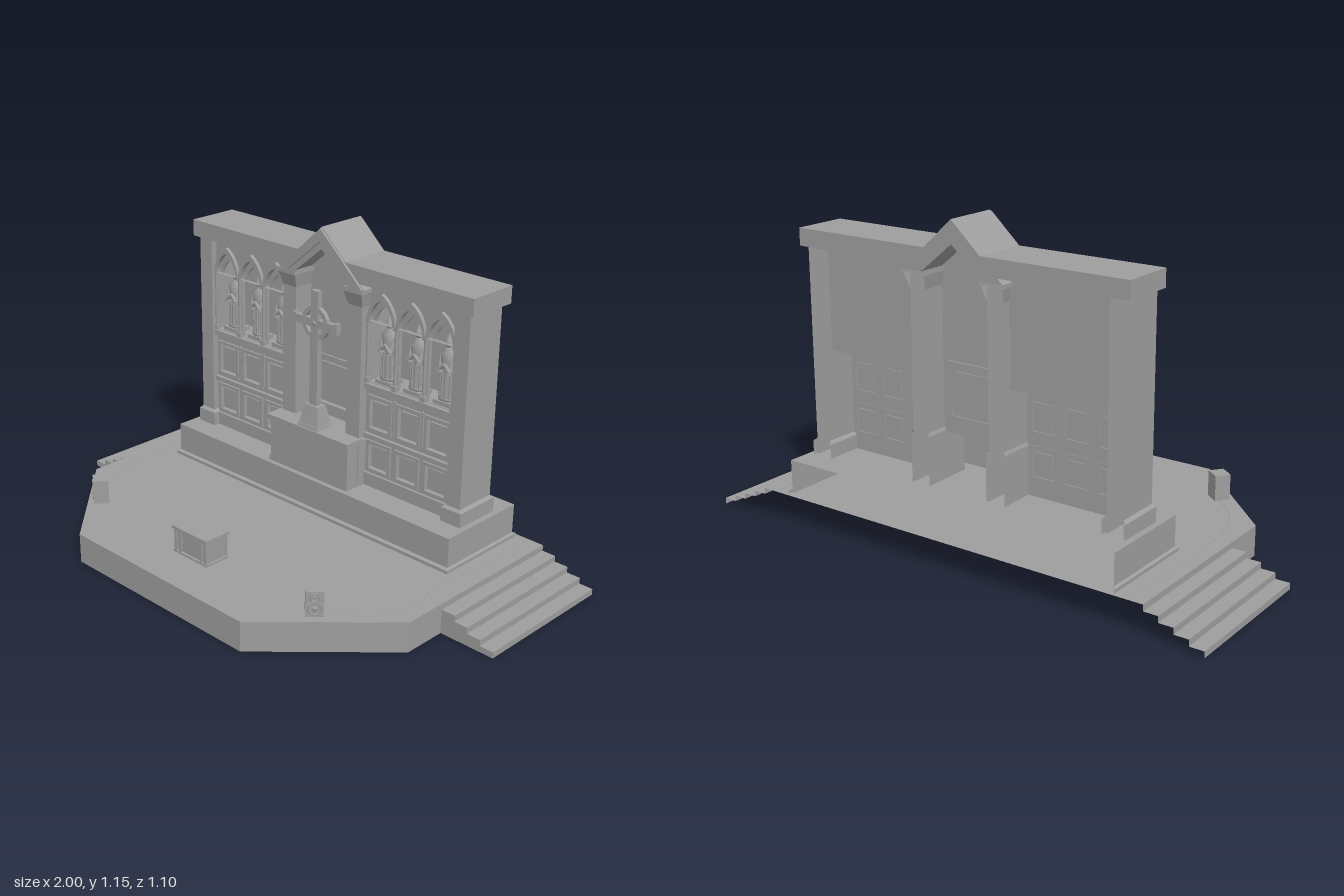
import * as THREE from 'three';

const grey = new THREE.MeshStandardMaterial({ color: 0x9e9e9e, side: THREE.DoubleSide, flatShading: true });
const smooth = new THREE.MeshStandardMaterial({ color: 0x9e9e9e });

function add(parent, name, geometry, x = 0, y = 0, z = 0, material = grey) {
  const mesh = new THREE.Mesh(geometry, material);
  mesh.name = name;
  mesh.position.set(x, y, z);
  parent.add(mesh);
  return mesh;
}

// Box given by its limits
function block(parent, name, x0, x1, y0, y1, z0, z1) {
  return add(parent, name, new THREE.BoxGeometry(x1 - x0, y1 - y0, z1 - z0),
    (x0 + x1) / 2, (y0 + y1) / 2, (z0 + z1) / 2);
}

// Block whose top has a different size from its bottom
function taper(parent, name, x, y, z, w0, d0, w1, d1, h) {
  const g = new THREE.BoxGeometry(1, h, 1), p = g.attributes.position;
  for (let i = 0; i < p.count; i++) {
    const top = p.getY(i) > 0;
    p.setX(i, p.getX(i) * (top ? w1 : w0));
    p.setZ(i, p.getZ(i) * (top ? d1 : d0));
  }
  return add(parent, name, g, x, y + h / 2, z);
}

// Thin sheet swept between two matching point lists
function sheet(parent, name, a, b) {
  const v = [];
  for (let i = 0; i + 1 < a.length; i++) v.push(...a[i], ...a[i + 1], ...b[i + 1], ...a[i], ...b[i + 1], ...b[i]);
  const g = new THREE.BufferGeometry();
  g.setAttribute('position', new THREE.Float32BufferAttribute(v, 3));
  g.computeVertexNormals();
  return add(parent, name, g);
}
const lift = (plan, y) => plan.map(([x, z]) => [x, y, z]);

// Three-sided casing open behind; each size is [half width, front z, back z]
function casing(parent, name, x, y0, y1, low, high = low) {
  const ring = ([w, f, b]) => [[x - w, b], [x - w, f], [x + w, f], [x + w, b]];
  return sheet(parent, name, lift(ring(low), y0), lift(ring(high), y1));
}

const poly = (pts) => new THREE.Shape(pts.map(([x, y]) => new THREE.Vector2(x, y)));
const rect = (x, y, w, h) => poly([[x - w / 2, y - h / 2], [x + w / 2, y - h / 2], [x + w / 2, y + h / 2], [x - w / 2, y + h / 2]]);
const extrude = (shape, depth) => new THREE.ExtrudeGeometry(shape, { depth, bevelEnabled: false, curveSegments: 8 });

// Pointed arch opening
function arch(x, w, y0, spring, apex) {
  const s = new THREE.Shape();
  s.moveTo(x - w, y0);
  s.lineTo(x + w, y0);
  s.lineTo(x + w, spring);
  s.quadraticCurveTo(x + w * 0.9, spring + (apex - spring) * 0.7, x, apex);
  s.quadraticCurveTo(x - w * 0.9, spring + (apex - spring) * 0.7, x - w, spring);
  s.lineTo(x - w, y0);
  return s;
}

// Picture-frame panel with a raised field
function panel(parent, x, y, z, w, h) {
  const ring = rect(x, y, w + 0.012, h + 0.012);
  ring.holes.push(rect(x, y, w - 0.014, h - 0.014));
  add(parent, 'panelFrame', extrude(ring, 0.026), 0, 0, z - 0.018);
  block(parent, 'panelBack', x - w / 2, x + w / 2, y - h / 2, y + h / 2, z - 0.014, z - 0.01);
  block(parent, 'panelField', x - w * 0.36, x + w * 0.36, y - h * 0.36, y + h * 0.36, z - 0.018, z - 0.002);
}

function statue(parent, x, y, z) {
  const g = new THREE.Group();
  g.name = 'statue';
  g.position.set(x, y, z);
  parent.add(g);
  const robe = [[0, 0], [0.034, 0], [0.034, 0.012], [0.028, 0.016], [0.03, 0.05], [0.027, 0.1], [0.031, 0.14], [0.029, 0.17], [0.012, 0.188], [0.009, 0.196]];
  const body = new THREE.LatheGeometry(robe.map(([r, h]) => new THREE.Vector2(r, h)), 14);
  add(g, 'robe', body, 0, 0, 0, smooth).scale.z = 0.8;
  add(g, 'head', new THREE.SphereGeometry(0.015, 10, 8), 0, 0.206, 0.002, smooth).scale.y = 1.2;
  add(g, 'headdress', new THREE.ConeGeometry(0.014, 0.03, 8), 0, 0.231, 0, smooth);
  for (const s of [-1, 1]) {
    const arm = add(g, 'sleeve', new THREE.CylinderGeometry(0.008, 0.012, 0.07, 8), s * 0.024, 0.135, 0.012, smooth);
    arm.rotation.set(-0.35, 0, -s * 0.15);
    const hand = add(g, 'forearm', new THREE.CylinderGeometry(0.006, 0.009, 0.036, 8), s * 0.013, 0.122, 0.026, smooth);
    hand.rotation.z = s * 0.8;
    for (const k of [0.35, 1])
      add(g, 'robeFold', new THREE.CylinderGeometry(0.003, 0.005, 0.1, 6), s * 0.02 * k, 0.062, 0.026 - 0.01 * k, smooth);
  }
}

// One side bay: three niches above two rows of panels
function sideBay(parent, cx) {
  const bay = new THREE.Group();
  bay.name = 'sideBay';
  bay.position.x = cx;
  parent.add(bay);
  const z = -0.265, front = rect(0, 0.6125, 0.39, 0.755);
  for (const i of [-1, 0, 1]) {
    const x = i * 0.129;
    front.holes.push(arch(x, 0.056, 0.63, 0.86, 0.95), rect(x, 0.517, 0.1, 0.125), rect(x, 0.352, 0.1, 0.108));
    panel(bay, x, 0.517, z, 0.1, 0.125);
    panel(bay, x, 0.352, z, 0.1, 0.108);
    const trim = arch(x, 0.064, 0.86, 0.861, 0.965);
    trim.holes.push(arch(x, 0.052, 0.86, 0.861, 0.943));
    add(bay, 'archMoulding', extrude(trim, 0.014), 0, 0, z);
    const inner = arch(x, 0.056, 0.85, 0.855, 0.95);
    inner.holes.push(arch(x, 0.044, 0.85, 0.852, 0.915));
    add(bay, 'innerArch', extrude(inner, 0.01), 0, 0, z - 0.025);
    block(bay, 'statueBase', x - 0.036, x + 0.036, 0.63, 0.645, -0.34, -0.272);
    statue(bay, x, 0.642, -0.305);
  }
  add(bay, 'bayFront', extrude(front, 0.016), 0, 0, z - 0.016);
  for (let i = 0; i < 4; i++) {
    const x = (i - 1.5) * 0.127;
    add(bay, 'nicheColumn', new THREE.CylinderGeometry(0.007, 0.007, 0.22, 8), x, 0.745, z + 0.004, smooth);
    block(bay, 'columnCapital', x - 0.01, x + 0.01, 0.85, 0.868, z - 0.005, z + 0.015);
    block(bay, 'columnFoot', x - 0.01, x + 0.01, 0.63, 0.65, z - 0.005, z + 0.015);
    if (i % 3) block(bay, 'panelStile', x - 0.005, x + 0.005, 0.46, 0.59, z, z + 0.008);
  }
  // Niche box closed at the back, the sides and below
  block(bay, 'nicheBack', -0.194, 0.194, 0.622, 0.99, -0.375, -0.371);
  block(bay, 'nicheFloor', -0.194, 0.194, 0.622, 0.63, -0.375, -0.265);
  for (const s of [-1, 1]) block(bay, 'nicheSide', s * 0.192 - 0.002, s * 0.192 + 0.002, 0.622, 0.99, -0.375, -0.265);
  block(bay, 'upperLedge', -0.195, 0.195, 0.608, 0.628, z, z + 0.016);
  block(bay, 'middleLedge', -0.195, 0.195, 0.42, 0.438, z, z + 0.014);
  block(bay, 'lowerLedge', -0.195, 0.195, 0.235, 0.285, z, z + 0.01);
}

function speaker(parent, x, z, turn) {
  const g = new THREE.Group();
  g.name = 'speaker';
  g.position.set(x, 0.11, z);
  g.rotation.y = turn;
  parent.add(g);
  block(g, 'speakerCabinet', -0.03, 0.03, 0, 0.092, -0.028, 0.028);
  for (const [r, y] of [[0.022, 0.03], [0.014, 0.07]]) {
    add(g, 'speakerRing', new THREE.TorusGeometry(r, 0.003, 6, 18), 0, y, 0.028, smooth);
    add(g, 'speakerDome', new THREE.SphereGeometry(r * 0.45, 10, 6), 0, y, 0.024, smooth);
  }
}

export function createModel() {
  const model = new THREE.Group();
  model.name = 'altarScreen';

  // Hollow stage, open below, behind and towards the steps
  const edge = [[-0.79, 0.027], [-0.79, 0.19], [-0.41, 0.565], [0.41, 0.565], [0.79, 0.19], [0.79, 0.027]];
  const deck = poly([[-0.79, -0.53], ...edge, [0.79, -0.53]]);
  add(model, 'stageDeck', new THREE.ShapeGeometry(deck).rotateX(Math.PI / 2), 0, 0.11, 0);
  sheet(model, 'stageWall', lift(edge, 0), lift(edge, 0.11));

  // Hollow plinth, open behind
  const plinth = [0.673, -0.145, -0.507], foot = [0.682, -0.132, -0.518];
  casing(model, 'plinth', 0, 0.11, 0.235, plinth);
  casing(model, 'plinthMoulding', 0, 0.11, 0.122, foot);
  casing(model, 'plinthMouldingTop', 0, 0.122, 0.126, foot, plinth);
  sheet(model, 'plinthTop', lift([[-0.673, -0.145], [0.673, -0.145]], 0.235), lift([[-0.673, -0.507], [0.673, -0.507]], 0.235));

  for (const s of [-1, 1]) {
    // Side steps
    const profile = [[1, 0]];
    for (let i = 0; i < 4; i++) profile.push([1 - i * 0.0525, 0.022 * (i + 1)], [1 - (i + 1) * 0.0525, 0.022 * (i + 1)]);
    profile.push([0.79, 0.11]);
    const at = (z) => profile.map(([x, y]) => [s * x, y, z]);
    sheet(model, 'steps', at(0.027), at(-0.53));
    add(model, 'stepCheek', new THREE.ShapeGeometry(poly([...profile, [0.79, 0]].map(([x, y]) => [s * x, y]))), 0, 0, 0.027);

    // Outer pier with its base
    const shaft = [0.031, -0.24, -0.405], base = [0.042, -0.23, -0.415], px = s * 0.609;
    casing(model, 'outerPier', px, 0.235, 0.99, shaft);
    casing(model, 'outerPierBase', px, 0.235, 0.287, base);
    casing(model, 'outerPierBaseCap', px, 0.287, 0.297, base, shaft);

    sideBay(model, s * 0.384);

    // Cornice
    const cornice = block(model, 'cornice', 0.112, 0.66, 0.99, 1.052, -0.425, -0.225);
    cornice.position.x *= s;

    // Inner pier with base and capital
    const x = s * 0.157, slim = [0.032, -0.23, -0.405], wide = [0.037, -0.223, -0.413];
    const flare = [0.042, -0.213, -0.425], crown = [0.044, -0.21, -0.433];
    casing(model, 'innerPier', x, 0.235, 0.97, slim);
    casing(model, 'innerPierBase', x, 0.235, 0.408, wide);
    casing(model, 'innerPierBaseCap', x, 0.408, 0.42, wide, slim);
    casing(model, 'capitalNeck', x, 0.908, 0.958, slim, flare);
    casing(model, 'capitalTop', x, 0.958, 0.972, crown);
    sheet(model, 'capitalUnderside', lift([[x - 0.044, -0.21], [x + 0.044, -0.21]], 0.958), lift([[x - 0.032, -0.23], [x + 0.032, -0.23]], 0.958));
  }

  // Central gable roof with a raised front edge
  const gable = (o, i) => poly([[0, 1.155 - o], [0.2 - o, 0.972], [0.125 + i, 0.972], [0, 1.075 + i], [-0.125 - i, 0.972], [-0.2 + o, 0.972]]);
  add(model, 'gable', extrude(gable(0, 0), 0.2), 0, 0, -0.425);
  add(model, 'gableMoulding', extrude(gable(0.004, 0.03), 0.01), 0, 0, -0.226);

  // Central recess
  const recess = poly([[-0.126, 0.41], [0.126, 0.41], [0.126, 0.972], [0, 1.078], [-0.126, 0.972]]);
  recess.holes.push(rect(0, 0.555, 0.19, 0.19));
  add(model, 'recessWall', extrude(recess, 0.012), 0, 0, -0.32);
  panel(model, 0, 0.555, -0.308, 0.19, 0.19);

  // Hollow altar, open behind
  casing(model, 'altar', 0, 0.235, 0.405, [0.19, -0.17, -0.25]);
  casing(model, 'altarFoot', 0, 0.235, 0.255, [0.194, -0.164, -0.25]);
  block(model, 'altarTop', -0.199, 0.199, 0.403, 0.42, -0.235, -0.158);
  block(model, 'altarTopRear', -0.125, 0.125, 0.403, 0.42, -0.32, -0.235);

  // Ringed cross on its pedestal
  taper(model, 'pedestalFoot', 0, 0.42, -0.203, 0.1, 0.08, 0.094, 0.074, 0.014);
  taper(model, 'pedestal', 0, 0.434, -0.203, 0.09, 0.068, 0.066, 0.042, 0.07);
  taper(model, 'crossShaft', 0, 0.504, -0.203, 0.038, 0.024, 0.032, 0.02, 0.428);
  block(model, 'crossArm', -0.105, 0.105, 0.798, 0.828, -0.213, -0.193);
  for (const s of [-1, 1]) block(model, 'crossArmEnd', s * 0.1 - 0.007, s * 0.1 + 0.007, 0.793, 0.833, -0.214, -0.192);
  const ring = new THREE.Shape().absarc(0, 0, 0.062, 0, Math.PI * 2);
  ring.holes.push(new THREE.Path().absarc(0, 0, 0.046, 0, Math.PI * 2));
  add(model, 'crossRing', extrude(ring, 0.016), 0, 0.813, -0.211);
  add(model, 'crossBoss', new THREE.SphereGeometry(0.014, 12, 8), 0, 0.813, -0.202, smooth);

  // Free-standing table
  block(model, 'tableBody', -0.079, 0.077, 0.11, 0.2, 0.312, 0.4);
  block(model, 'tableTop', -0.088, 0.085, 0.199, 0.21, 0.304, 0.41);
  block(model, 'tableFoot', -0.086, 0.083, 0.11, 0.118, 0.306, 0.408);
  for (const x of [-0.076, -0.054, 0.051, 0.073])
    for (const z of [0.312, 0.401]) block(model, 'tablePost', x - 0.006, x + 0.006, 0.118, 0.199, z - 0.005, z + 0.005);

  // Speakers and their thin cables along the deck
  speaker(model, -0.567, 0.342, -0.65);
  speaker(model, 0.537, 0.358, 0.79);
  for (const pts of [[[-0.73, -0.52], [-0.745, -0.2], [-0.72, 0.1], [-0.66, 0.24], [-0.58, 0.32]],
    [[0.73, -0.52], [0.74, -0.3], [0.71, -0.05], [0.735, 0.12], [0.68, 0.25], [0.56, 0.33]]]) {
    const curve = new THREE.CatmullRomCurve3(pts.map(([x, z]) => new THREE.Vector3(x, 0.1105, z)));
    add(model, 'cable', new THREE.TubeGeometry(curve, 40, 0.001, 4), 0, 0, 0, smooth);
  }
  return model;
}
